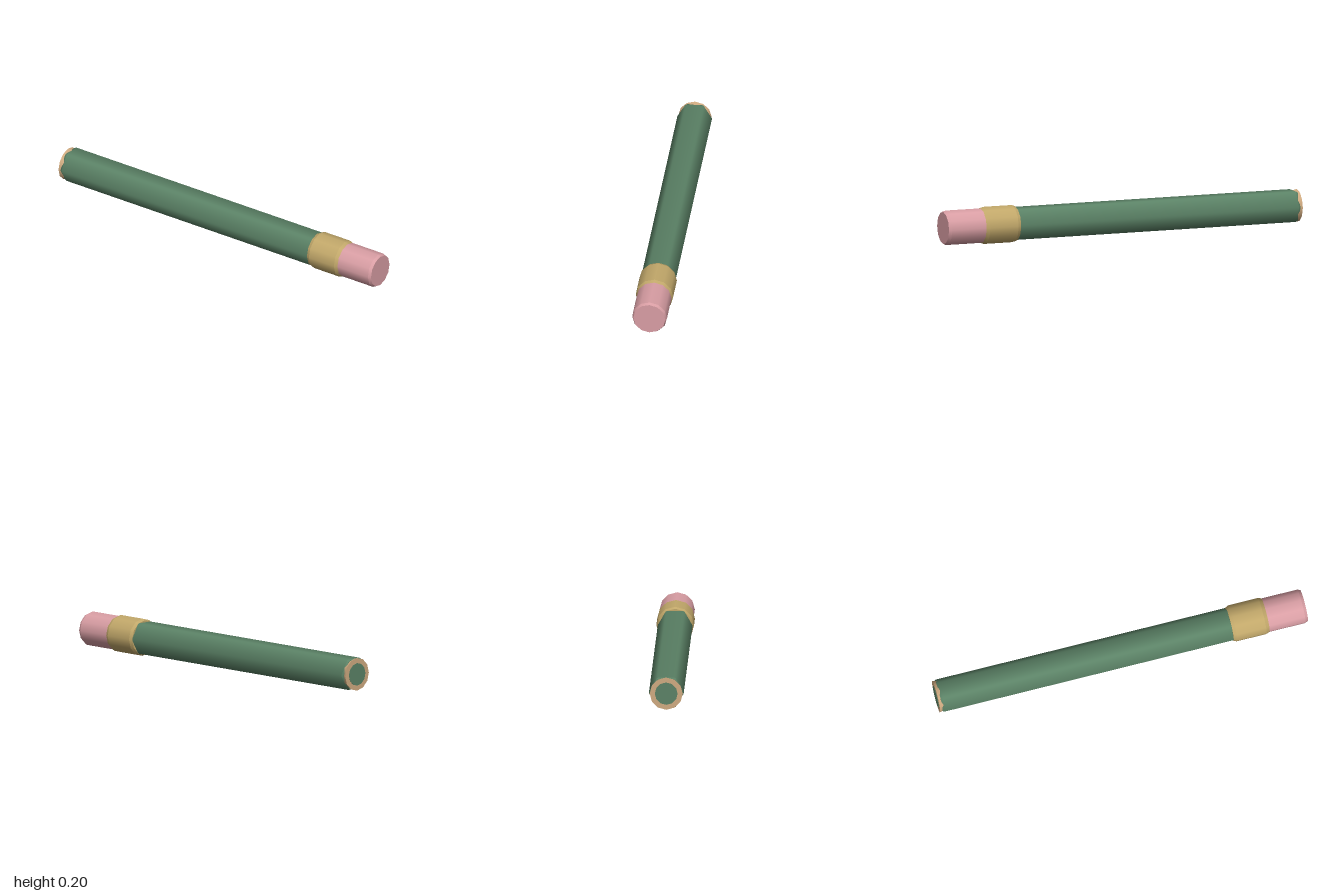
import * as THREE from 'three';
import { mergeGeometries } from 'three/addons/utils/BufferGeometryUtils.js';

const SIDES = 12;

const paint = (name, color) => {
  const m = new THREE.MeshStandardMaterial({ color });
  m.name = name;
  return m;
};

// Turned solid along x from [x, radius] points; smooth around, creased between bands
function turned(profile) {
  const bands = [];
  for (let i = 0; i < profile.length - 1; i++) {
    const pts = [profile[i], profile[i + 1]].map(([x, r]) => new THREE.Vector2(r, x));
    bands.push(new THREE.LatheGeometry(pts, SIDES));
  }
  return mergeGeometries(bands);
}

// Gather the twelve corners in pairs, giving a hexagon with narrow chamfers
function makeHexagonal(geo, halfChamfer = Math.PI / 60) {
  const p = geo.attributes.position, n = geo.attributes.normal;
  for (let i = 0; i < p.count; i++) {
    const x = p.getX(i), z = p.getZ(i), r = Math.hypot(x, z);
    if (r < 1e-6) continue;
    const k = Math.round(Math.atan2(x, z) / (Math.PI / 6));
    const a = Math.floor(k / 2) * Math.PI / 3 + (k % 2 ? halfChamfer : -halfChamfer);
    const nr = Math.hypot(n.getX(i), n.getZ(i));
    p.setXYZ(i, r * Math.sin(a), p.getY(i), r * Math.cos(a));
    n.setXYZ(i, nr * Math.sin(a), n.getY(i), nr * Math.cos(a));
  }
  return geo;
}

export function createModel() {
  const model = new THREE.Group();
  model.name = 'pencil';
  const green = paint('green lacquer', 0x5b8266);
  const gold = paint('brass', 0xc2a86a);
  const pink = paint('pink rubber', 0xd99ea4);
  const tan = paint('bare wood', 0xcfaa80);

  const add = (name, geo, material) => {
    const mesh = new THREE.Mesh(geo, material);
    mesh.name = name;
    mesh.rotation.z = -Math.PI / 2; // lathe axis y becomes +x
    mesh.position.y = 0.1;
    model.add(mesh);
  };

  // Hexagonal painted shaft
  add('shaft', makeHexagonal(turned([[-0.985, 0], [-0.985, 0.086], [-0.975, 0.091], [0.62, 0.091]])), green);

  // Bare wood at the unsharpened end, with the core in its middle
  add('woodEnd', turned([[-0.998, 0.06], [-0.998, 0.087], [-0.97, 0.079]]), tan);
  add('core', turned([[-1, 0], [-1, 0.06], [-0.99, 0.06]]), green);

  // Metal band with slightly rolled rims
  add('ferrule', turned([
    [0.595, 0.08], [0.595, 0.092], [0.612, 0.099], [0.772, 0.099], [0.79, 0.092], [0.79, 0.08],
  ]), gold);

  // Eraser with a bevelled tip
  add('eraser', turned([[0.78, 0.092], [0.985, 0.092], [1, 0.085], [1, 0]]), pink);

  return model;
}
